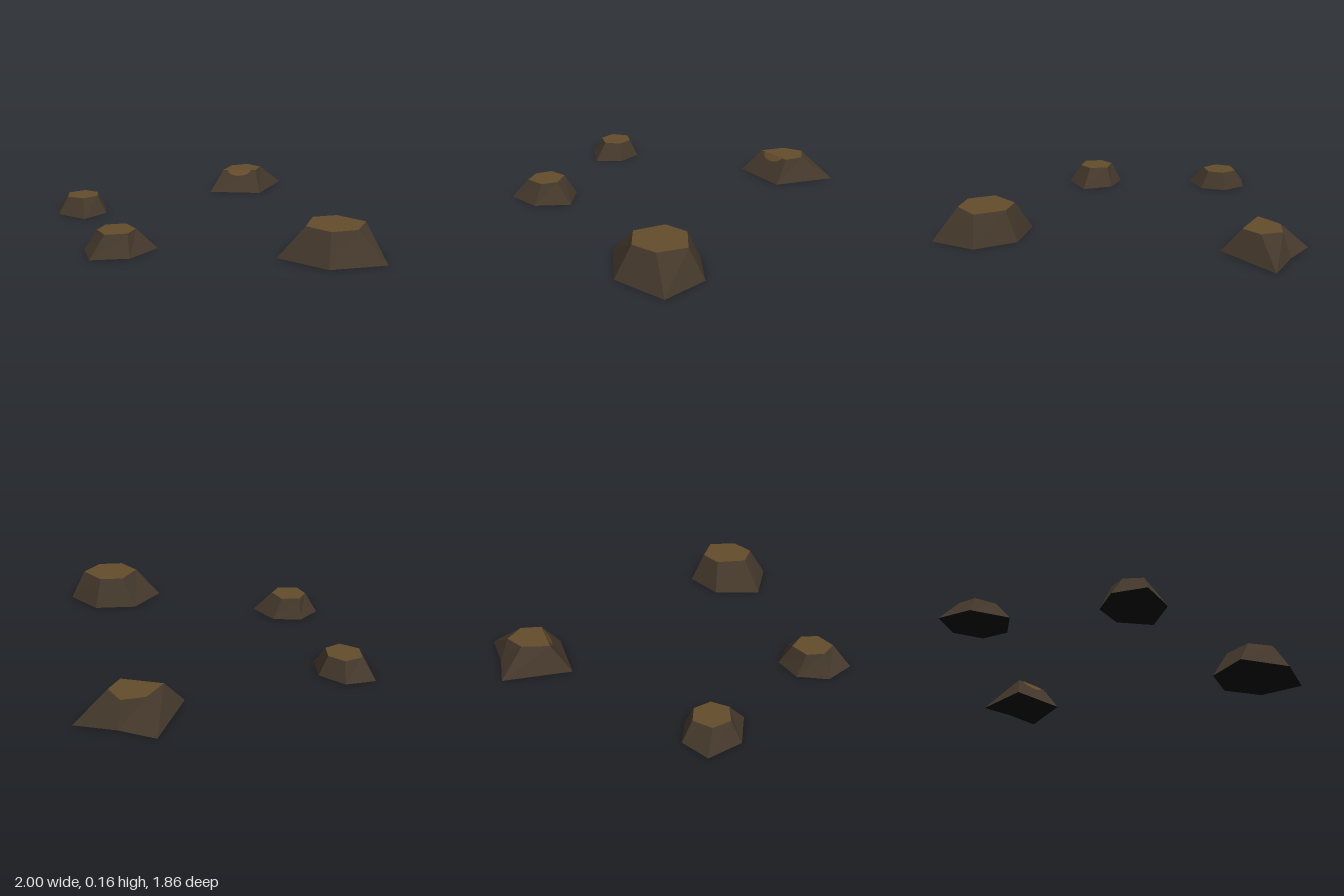
import * as THREE from 'three';

const material = (name, color) => {
  const m = new THREE.MeshStandardMaterial({ color });
  m.name = name;
  return m;
};

// Flat-faced mesh from a list of triangle corners
function faces(name, corners, mat) {
  const geometry = new THREE.BufferGeometry().setFromPoints(corners);
  geometry.computeVertexNormals();
  const mesh = new THREE.Mesh(geometry, mat);
  mesh.name = name;
  return mesh;
}

// Outlines run clockwise seen from above, as [x, z] pairs
const rocks = [
  {
    name: 'backRock', height: 0.13,
    base: [[-0.75, -0.77], [-0.605, -0.93], [-0.44, -0.6], [-0.67, -0.37], [-0.9, -0.65]],
    top: [[-0.715, -0.735], [-0.595, -0.74], [-0.535, -0.645], [-0.68, -0.49], [-0.75, -0.62]],
    patchSide: 2,
  },
  {
    name: 'largeRock', height: 0.16,
    base: [[0.56, -0.265], [0.795, -0.32], [1, -0.16], [0.86, 0.11], [0.57, 0.185], [0.455, -0.05]],
    top: [[0.61, -0.205], [0.78, -0.235], [0.855, -0.095], [0.795, 0.035], [0.645, 0.06], [0.55, -0.085]],
  },
  {
    name: 'smallRock', height: 0.1,
    base: [[-0.95, 0.4], [-0.805, 0.345], [-0.675, 0.42], [-0.65, 0.585], [-0.835, 0.65], [-1, 0.555]],
    top: [[-0.9, 0.43], [-0.81, 0.395], [-0.73, 0.445], [-0.73, 0.54], [-0.825, 0.59], [-0.91, 0.535]],
  },
  {
    name: 'frontRock', height: 0.11,
    base: [[-0.125, 0.57], [0.06, 0.555], [0.11, 0.755], [0, 0.925], [-0.165, 0.86], [-0.215, 0.7]],
    top: [[-0.11, 0.635], [0, 0.645], [0.045, 0.725], [-0.01, 0.825], [-0.11, 0.81], [-0.16, 0.73]],
  },
];

// Half-round patch of top colour hanging over one sloping side
function sidePatch(b0, b1, t0, t1, mat) {
  const along = t1.clone().sub(t0);
  const down = b0.clone().add(b1).sub(t0).sub(t1).multiplyScalar(0.5);
  const lift = down.clone().cross(along).normalize();
  if (lift.y < 0) lift.negate();
  const centre = t0.clone().addScaledVector(along, 0.5).addScaledVector(lift, 0.003);
  const rim = [];
  for (let i = 0; i <= 8; i++) {
    const a = (i / 8) * Math.PI;
    rim.push(centre.clone()
      .addScaledVector(along, -0.36 * Math.cos(a))
      .addScaledVector(down, 0.27 * Math.sin(a)));
  }
  const corners = [];
  for (let i = 0; i < 8; i++) corners.push(centre, rim[i + 1], rim[i]);
  // Keep the patch facing outward
  const n = rim[1].clone().sub(centre).cross(rim[0].clone().sub(centre));
  if (n.dot(lift) < 0) corners.reverse();
  return faces('sidePatch', corners, mat);
}

function createRock({ name, height, base, top, patchSide }, mats) {
  const b = base.map(([x, z]) => new THREE.Vector3(x, 0, z));
  const t = top.map(([x, z]) => new THREE.Vector3(x, height, z));
  const middle = (ring) => ring
    .reduce((sum, p) => sum.add(p), new THREE.Vector3())
    .divideScalar(ring.length);
  const bc = middle(b);
  const tc = middle(t);
  const sides = [];
  const cap = [];
  const under = [];
  b.forEach((p, i) => {
    const j = (i + 1) % b.length;
    sides.push(b[j], p, t[i], b[j], t[i], t[j]);
    cap.push(tc, t[j], t[i]);
    under.push(bc, p, b[j]);
  });
  const rock = new THREE.Group();
  rock.name = name;
  rock.add(
    faces('slopes', sides, mats.stone),
    faces('flatTop', cap, mats.earth),
    faces('underside', under, mats.shade),
  );
  if (patchSide !== undefined) {
    const i = patchSide;
    rock.add(sidePatch(b[i], b[i + 1], t[i], t[i + 1], mats.earth));
  }
  return rock;
}

export function createModel() {
  const mats = {
    stone: material('darkStone', 0x43372a),
    earth: material('brownEarth', 0x644c2c),
    shade: material('blackUnderside', 0x0c0c0c),
  };
  const model = new THREE.Group();
  model.name = 'rocks';
  rocks.forEach((rock) => model.add(createRock(rock, mats)));
  return model;
}
